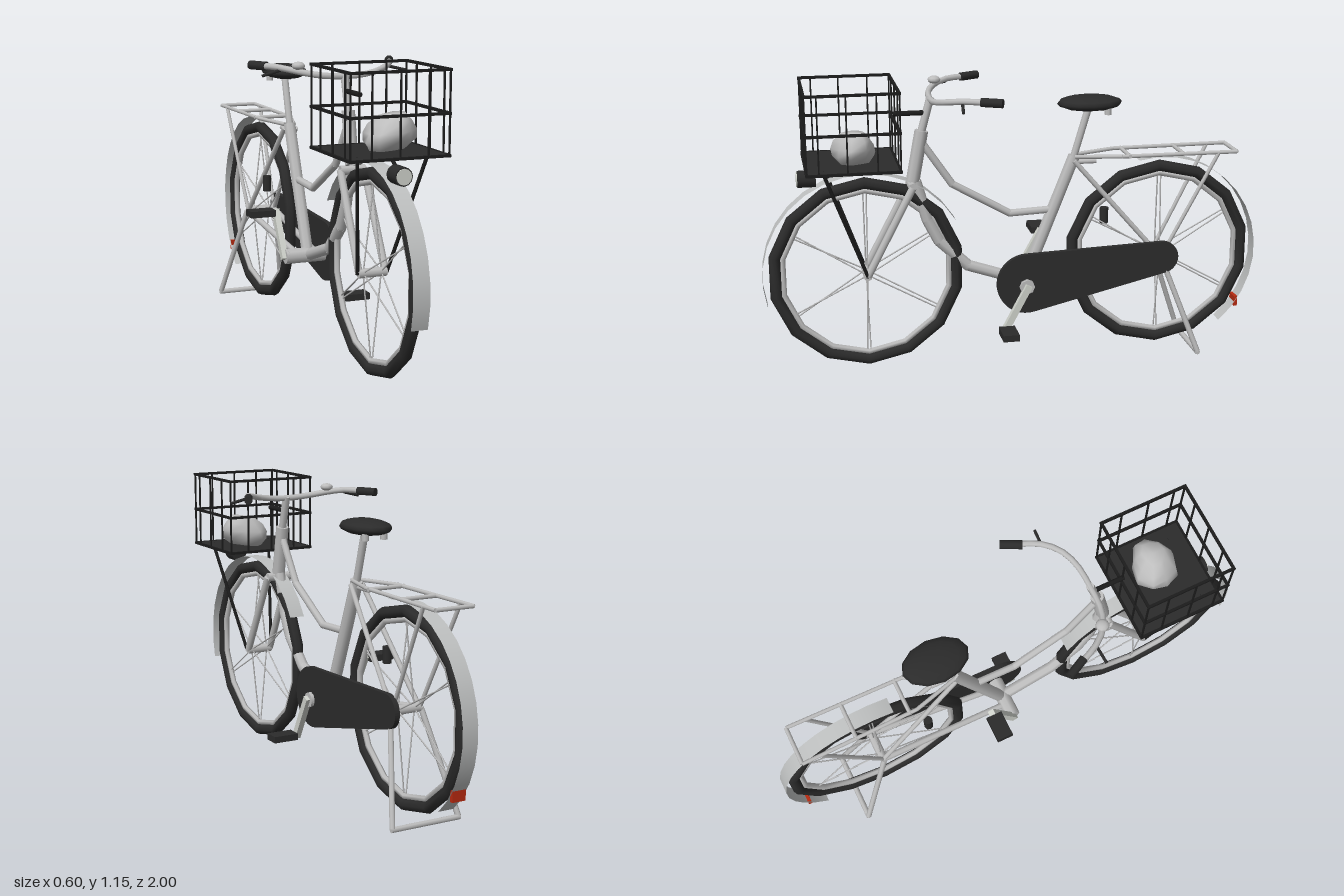
import * as THREE from 'three';
import { mergeVertices } from 'three/addons/utils/BufferGeometryUtils.js';

const mat = (name, color, side = THREE.FrontSide) => Object.assign(new THREE.MeshStandardMaterial({ color, side }), { name });
const V = (x, y, z) => new THREE.Vector3(x, y, z);

export function createModel() {
  const metal = mat('silver metal', 0xbdbdbd);
  const sheet = mat('mudguard metal', 0xbdbfbf, THREE.DoubleSide);
  const pale = mat('pale crank metal', 0xcfd2cb);
  const dark = mat('dark rubber', 0x2b2b2b);
  const black = mat('black wire', 0x1c1c1c);
  const red = mat('red reflector', 0xb82a10);
  const root = new THREE.Group();
  root.name = 'bicycle';

  const add = (name, geo, m, parent = root) => {
    const mesh = new THREE.Mesh(geo, m);
    mesh.name = name;
    parent.add(mesh);
    return mesh;
  };
  const group = (name) => {
    const g = new THREE.Group();
    g.name = name;
    root.add(g);
    return g;
  };
  // straight round bar between two points
  const bar = (name, a, b, r, m = metal, parent = root, sides = 8) => {
    const d = b.clone().sub(a);
    const mesh = add(name, new THREE.CylinderGeometry(r, r, d.length(), sides), m, parent);
    mesh.position.copy(a).add(b).multiplyScalar(0.5);
    mesh.quaternion.setFromUnitVectors(V(0, 1, 0), d.normalize());
    return mesh;
  };
  // angular tube: straight pieces with round joints
  const bentTube = (name, pts, r) => {
    const g = group(name);
    for (let i = 1; i < pts.length; i++) {
      bar('piece', pts[i - 1], pts[i], r, metal, g);
      if (i < pts.length - 1) add('joint', new THREE.SphereGeometry(r, 8, 6), metal, g).position.copy(pts[i]);
    }
  };
  const box = (name, w, h, d, x, y, z, m, parent = root) => {
    const mesh = add(name, new THREE.BoxGeometry(w, h, d), m, parent);
    mesh.position.set(x, y, z);
    return mesh;
  };

  // wheels with mudguards
  const wheel = (name, y, z, from, to) => {
    const g = group(name);
    g.position.set(0, y, z);
    const ring = (R, r, k) => new THREE.TorusGeometry(R, r, k, 14).rotateZ(Math.PI / 2).rotateY(Math.PI / 2);
    add('tire', ring(0.365, 0.024, 8), dark, g);
    add('rim', ring(0.335, 0.012, 6), metal, g);
    bar('hub', V(-0.055, 0, 0), V(0.055, 0, 0), 0.018, metal, g);
    for (let i = 0; i < 12; i++) {
      const a = Math.PI / 2 + Math.floor(i / 2) * Math.PI / 3 + (i % 2 ? 0.02 : -0.02);
      const s = i % 2 ? 1 : -1;
      bar('spoke', V(s * 0.035, 0.01 * Math.sin(a), 0.01 * Math.cos(a)),
        V(0, 0.33 * Math.sin(a), 0.33 * Math.cos(a)), 0.003, metal, g, 5);
    }
    const rad = THREE.MathUtils.degToRad;
    add('mudguard', new THREE.CylinderGeometry(0.407, 0.407, 0.064, 14, 1, true, rad(from), rad(to - from))
      .rotateZ(Math.PI / 2), sheet, g);
  };
  wheel('front wheel', 0.397, 0.594, -16, 150);
  wheel('rear wheel', 0.408, -0.593, 77, 229);

  // frame
  bar('head tube', V(0, 0.76, 0.405), V(0, 0.96, 0.367), 0.027);
  bar('stem', V(0, 0.95, 0.369), V(0, 1.09, 0.33), 0.016);
  bentTube('down tube', [V(0, 0.76, 0.395), V(0, 0.6, 0.35), V(0, 0.51, 0.305), V(0, 0.4, 0.19), V(0, 0.325, -0.03)], 0.023);
  bentTube('step-through tube', [V(0, 0.91, 0.365), V(0, 0.74, 0.25), V(0, 0.608, 0.02), V(0, 0.615, -0.15)], 0.015);
  bar('seat tube', V(0, 0.325, -0.04), V(0, 0.83, -0.24), 0.025);
  bar('seat post', V(0, 0.82, -0.236), V(0, 1.03, -0.298), 0.015);
  bar('bottom bracket', V(-0.09, 0.325, -0.033), V(0.09, 0.325, -0.033), 0.031);
  bar('fork crown', V(-0.05, 0.745, 0.41), V(0.05, 0.745, 0.41), 0.018);
  for (const s of [-1, 1]) {
    bar('fork blade', V(s * 0.048, 0.745, 0.41), V(s * 0.052, 0.397, 0.594), 0.015);
    bar('seat stay', V(s * 0.025, 0.815, -0.235), V(s * 0.06, 0.405, -0.592), 0.01);
    bar('chain stay', V(s * 0.04, 0.325, -0.04), V(s * 0.06, 0.405, -0.592), 0.013);
    // luggage rack side
    bar('rack rail', V(s * 0.078, 0.835, -0.89), V(s * 0.07, 0.835, -0.42), 0.008);
    bar('rack front rail', V(s * 0.07, 0.835, -0.42), V(s * 0.02, 0.83, -0.24), 0.008);
    bar('rack strut', V(s * 0.078, 0.835, -0.815), V(s * 0.06, 0.405, -0.592), 0.008);
    bar('stand leg', V(s * 0.066, 0.405, -0.592), V(s * 0.143, 0.015, -0.735), 0.011);
    bar('saddle spring', V(s * 0.04, 1.0, -0.365), V(s * 0.04, 1.035, -0.365), 0.014);
  }
  for (const z of [-0.89, -0.67, -0.45]) bar('rack crossbar', V(-0.078, 0.835, z), V(0.078, 0.835, z), 0.008);
  bar('rack mount', V(0, 0.805, -0.235), V(0, 0.805, -0.33), 0.01);
  bar('rear axle', V(-0.066, 0.405, -0.592), V(0.066, 0.405, -0.592), 0.014);
  bar('stand foot', V(-0.148, 0.013, -0.735), V(0.148, 0.013, -0.735), 0.011);
  box('tail reflector', 0.056, 0.042, 0.014, 0, 0.178, -0.933, red);
  bar('dynamo', V(-0.05, 0.53, -0.38), V(-0.05, 0.595, -0.38), 0.018, dark);

  // saddle
  add('saddle', new THREE.SphereGeometry(1, 12, 8).scale(0.088, 0.031, 0.131), dark).position.set(0, 1.043, -0.3);

  // handlebar
  const half = [[0.1, 1.09, 0.325], [0.17, 1.103, 0.295], [0.225, 1.115, 0.235], [0.26, 1.115, 0.16]];
  const barPath = new THREE.CatmullRomCurve3([...half.map(([x, y, z]) => V(-x, y, z)).reverse(),
    V(0, 1.083, 0.332), ...half.map(([x, y, z]) => V(x, y, z))]);
  add('handlebar', new THREE.TubeGeometry(barPath, 16, 0.012, 8), metal);
  for (const s of [-1, 1]) {
    bar('grip', V(s * 0.25, 1.115, 0.175), V(s * 0.288, 1.115, 0.1), 0.017, dark);
    bar('brake lever', V(s * 0.22, 1.105, 0.24), V(s * 0.293, 1.087, 0.248), 0.006, dark);
  }
  add('bell', new THREE.SphereGeometry(0.026, 10, 6).scale(1, 0.6, 1), metal).position.set(-0.168, 1.124, 0.292);

  // chain guard, drawn with u = -z and v = y
  const hull = new THREE.Shape();
  const tilt = Math.atan2(0.075, 0.557), lean = Math.asin((0.122 - 0.066) / 0.562);
  hull.absarc(0.035, 0.335, 0.122, Math.PI / 2 + tilt - lean, Math.PI * 1.5 + tilt + lean, false);
  hull.absarc(0.592, 0.41, 0.066, -Math.PI / 2 + tilt + lean, Math.PI / 2 + tilt - lean, false);
  add('chain guard', new THREE.ExtrudeGeometry(hull, { depth: 0.02, bevelEnabled: false, curveSegments: 10 })
    .rotateY(Math.PI / 2), dark).position.x = 0.067;

  // cranks and pedals
  for (const [s, y, z] of [[1, 0.16, 0.055], [-1, 0.492, -0.125]]) {
    const dy = y - 0.325, dz = z + 0.033;
    const crank = box('crank', 0.024, Math.hypot(dy, dz) + 0.02, 0.026, s * 0.104, 0.325 + dy / 2, -0.033 + dz / 2, pale);
    crank.rotation.x = Math.atan(dz / dy);
    box('pedal', 0.105, 0.026, 0.065, s * 0.168, y, z, dark);
  }
  bar('crank axle', V(-0.1, 0.325, -0.033), V(0.1, 0.325, -0.033), 0.03, metal);

  // wire basket
  const basket = group('basket');
  const X = 0.187, z0 = 0.469, z1 = 0.82, y0 = 0.848, y1 = 1.147;
  for (const y of [y0, 0.996, y1]) {
    for (const s of [-X, X]) box('side rail', 0.01, 0.01, z1 - z0 + 0.01, s, y, (z0 + z1) / 2, black, basket);
    for (const z of [z0, z1]) box('cross rail', 2 * X + 0.01, 0.01, 0.01, 0, y, z, black, basket);
  }
  const wire = (x, z) => box('upright wire', 0.006, y1 - y0, 0.006, x, (y0 + y1) / 2, z, black, basket);
  for (const z of [z0, z1]) for (const x of [-X, -0.107, 0, 0.107, X]) wire(x, z);
  for (const x of [-X, X]) for (const z of [0.555, 0.668, 0.775]) wire(x, z);
  box('basket floor', 2 * X, 0.008, z1 - z0, 0, y0, (z0 + z1) / 2, dark, basket);
  bar('basket mount', V(0, 1.03, 0.345), V(0, 1.03, 0.475), 0.01, black, basket);
  for (const s of [-1, 1])
    bar('basket brace', V(s * 0.135, 0.85, 0.76), V(s * 0.058, 0.395, 0.594), 0.007, black, basket);

  // bundle lying in the basket: stacked uneven rings with a flat top
  const bundle = new THREE.CylinderGeometry(1, 1, 1, 9, 4);
  const q = bundle.attributes.position;
  const widths = [0.5, 0.82, 0.98, 1, 0.7];
  for (let i = 0; i < q.count; i++) {
    const x = q.getX(i), z = q.getZ(i), level = Math.round((q.getY(i) + 0.5) * 4);
    const k = widths[4 - level] * (1 + 0.1 * Math.sin(3 * Math.atan2(z, x) + level));
    q.setXYZ(i, x * k * 0.098 + 0.006 * level - 0.012, -0.061 + level * 0.031 + 0.006 * x, z * k * 0.085);
  }
  bundle.deleteAttribute('normal');
  bundle.deleteAttribute('uv');
  const smooth = mergeVertices(bundle);
  smooth.computeVertexNormals();
  add('bundle', smooth, metal).position.set(0.045, 0.916, 0.635);

  // headlight
  bar('headlight', V(0, 0.79, 0.78), V(0, 0.79, 0.85), 0.034, dark, root, 12);
  bar('headlight lens', V(0, 0.79, 0.85), V(0, 0.79, 0.854), 0.029, pale, root, 12);
  bar('headlight bracket', V(0, 0.815, 0.785), V(0, 0.845, 0.74), 0.007, black);

  return root;
}
